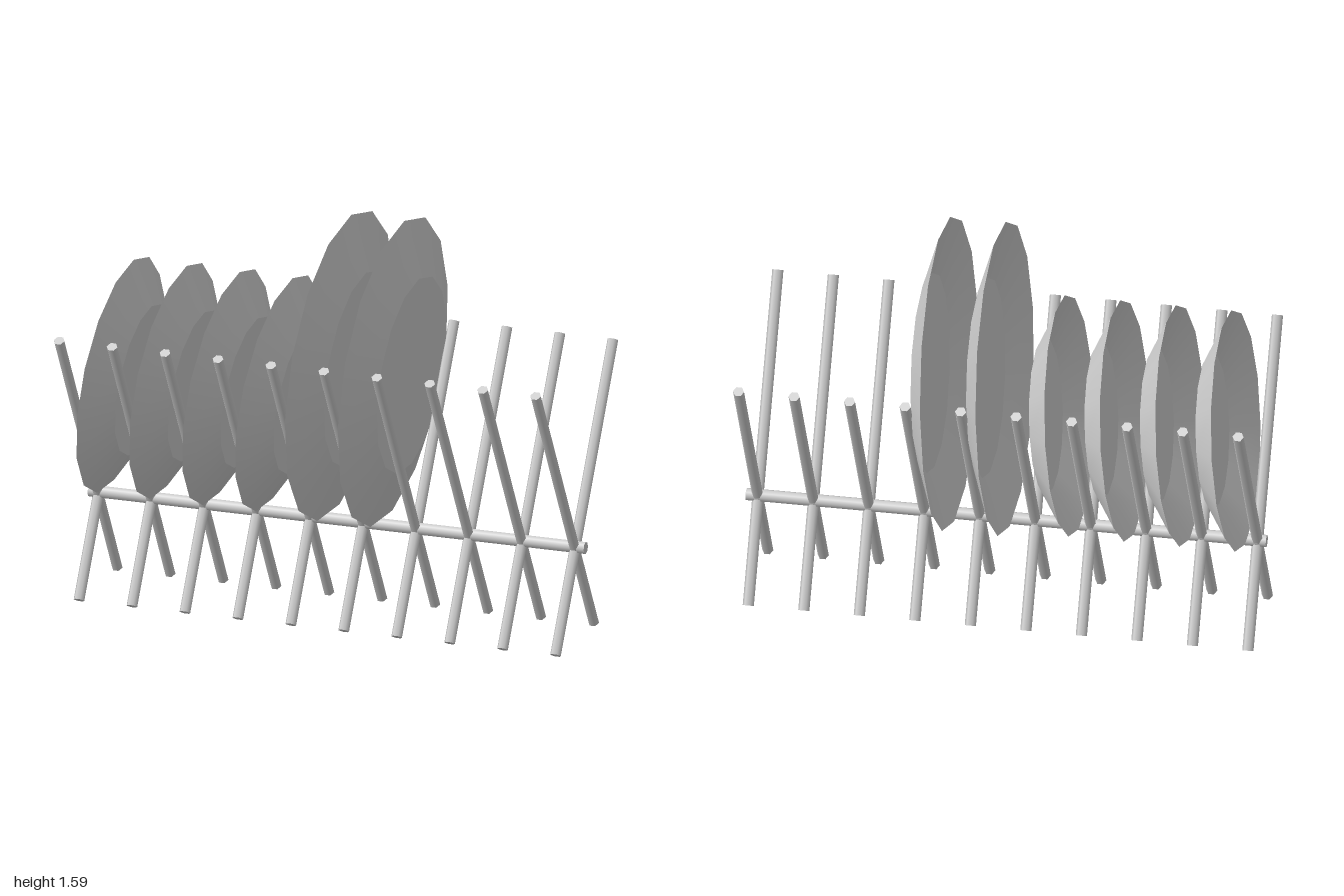
import * as THREE from 'three';

const material = new THREE.MeshStandardMaterial({ color: 0xcccccc });
const thinMaterial = new THREE.MeshStandardMaterial({ color: 0xcccccc, side: THREE.DoubleSide });
const SPACING = 0.2134;
const SIDES = 15;

function addMesh(parent, name, geometry, mat = material) {
  const mesh = new THREE.Mesh(geometry, mat);
  mesh.name = name;
  parent.add(mesh);
  return mesh;
}

// Six-sided rod between two points given as [z, y], at a given x
function addRod(parent, name, x, [z0, y0], [z1, y1]) {
  const from = new THREE.Vector3(x, y0, z0);
  const to = new THREE.Vector3(x, y1, z1);
  const dir = to.clone().sub(from);
  const geometry = new THREE.CylinderGeometry(0.0215, 0.0215, dir.length(), 6);
  geometry.rotateY(Math.PI / 2);
  const rod = addMesh(parent, name, geometry);
  rod.position.copy(from).add(to).multiplyScalar(0.5);
  rod.quaternion.setFromUnitVectors(new THREE.Vector3(0, 1, 0), dir.normalize());
}

// Shallow dish standing on its rim: the opening faces -x, the base faces +x
function createPlate(name, { rim, base, depth, tilt }) {
  const plate = new THREE.Group();
  plate.name = name;
  const inner = depth - 0.008;
  // Separate sections keep the edges of the flat base crisp
  const sections = {
    outerWall: [[rim, 0], [base, depth]],
    outerBase: [[base, depth], [0, depth]],
    innerBase: [[0, inner], [base, inner]],
    innerWall: [[base, inner], [rim, 0]],
  };
  for (const [part, points] of Object.entries(sections)) {
    const profile = points.map(([r, y]) => new THREE.Vector2(r, y));
    const geometry = new THREE.LatheGeometry(profile, SIDES, THREE.MathUtils.degToRad(-92.4));
    geometry.rotateZ(-Math.PI / 2);
    addMesh(plate, part, geometry, thinMaterial);
  }
  plate.rotation.z = -THREE.MathUtils.degToRad(tilt);
  return plate;
}

export function createModel() {
  const model = new THREE.Group();
  model.name = 'plateRack';

  // Long bar joining the crossed rods
  const bar = addMesh(model, 'crossBar', new THREE.CylinderGeometry(0.024, 0.024, 2, 8));
  bar.rotation.z = Math.PI / 2;
  bar.position.set(0, 0.377, 0.004);

  // Ten pairs of crossed rods
  for (let i = 0; i < 10; i++) {
    const pair = new THREE.Group();
    pair.name = 'rodPair';
    const x = -0.964 + i * SPACING;
    addRod(pair, 'frontLeaningRod', x, [-0.202, 0.011], [0.438, 1.115]);
    addRod(pair, 'backLeaningRod', x, [0.219, 0.011], [-0.413, 1.074]);
    model.add(pair);
  }

  // Four small plates
  for (let i = 0; i < 4; i++) {
    const plate = createPlate('smallPlate', { rim: 0.46, base: 0.295, depth: 0.094, tilt: 6.3 });
    plate.position.set(-0.881 + i * SPACING, 0.853, 0);
    model.add(plate);
  }

  // Two large plates
  for (let i = 0; i < 2; i++) {
    const plate = createPlate('largePlate', { rim: 0.599, base: 0.382, depth: 0.077, tilt: 3.6 });
    plate.position.set(0.007 + i * SPACING, 0.991, 0);
    model.add(plate);
  }

  return model;
}
